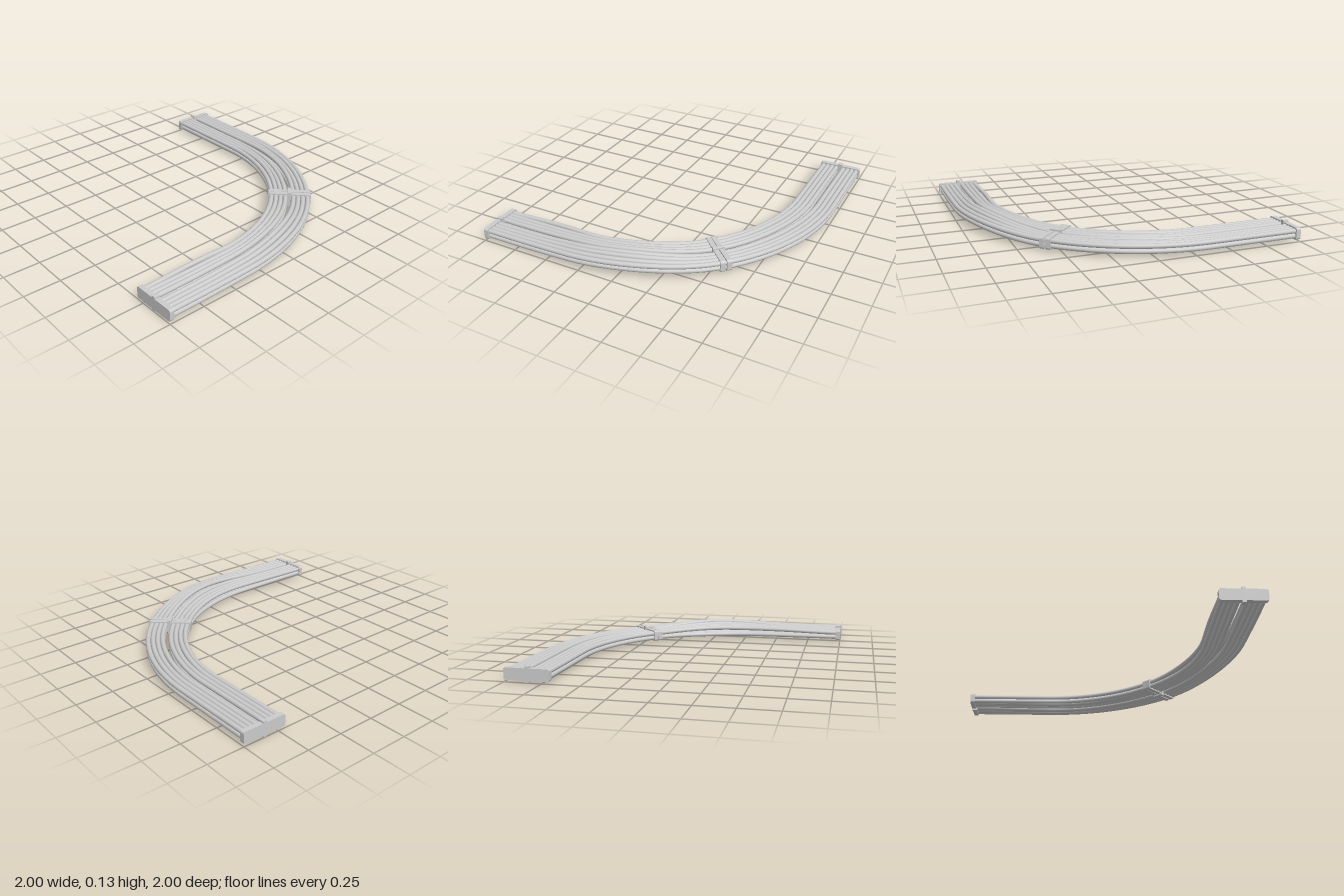
import * as THREE from 'three';

const MID_Y = 0.053, PITCH = 0.033, RADIUS = 0.0167;
const EDGE = 0.848, BEND = -0.367;          // straight-run offset and bend centre
const R = EDGE - BEND, STRAIGHT = 0.63, ARC = R * Math.PI / 2;
const TOTAL = 2 * STRAIGHT + ARC;

// Position and outward direction on the centre line at distance s
function centreLine(s) {
  if (s < STRAIGHT) return { x: BEND - STRAIGHT + s, z: EDGE, nx: 0, nz: 1 };
  if (s > STRAIGHT + ARC) return { x: EDGE, z: BEND - (s - STRAIGHT - ARC), nx: 1, nz: 0 };
  const a = (s - STRAIGHT) / R;
  const nx = Math.sin(a), nz = Math.cos(a);
  return { x: BEND + R * nx, z: BEND + R * nz, nx, nz };
}

// Slack of each cable (inner to outer) on the first span: lower row, upper row
const SLACK = [
  [-0.006, -0.004, 0, 0.006, 0.018, 0.022, 0.022, 0.020],
  [0.012, 0.014, 0.018, 0.028, 0.040, 0.036, 0.026, 0.018],
];

class CablePath extends THREE.Curve {
  constructor(column, row) {
    super();
    this.column = column;
    this.row = row;
    const group = column < 4 ? -1 : 1;
    this.offset = group * 0.078 + ((column % 4) - 1.5) * PITCH;
    this.side = row ? 1 : -1;
  }
  getPoint(t, target = new THREE.Vector3()) {
    const c = centreLine(t * TOTAL);
    let y = MID_Y + this.side * PITCH / 2, off = this.offset;
    if (t < 0.5) {
      // arched span
      const u = t * 2;
      y += SLACK[this.row][this.column] * Math.sin(Math.PI * Math.pow(u, 1.45)) ** 2;
      if (this.column === 0 && this.row === 1) {
        off -= 0.007 * Math.sin(Math.PI * Math.min(1, u * 1.9)) ** 2;
        y += 0.007 * Math.sin(Math.PI * Math.min(1, u * 1.9)) ** 2;
      }
    } else if (this.column > 0 && this.column < 7) {
      // slight rise and dip on the second span
      const u = (t - 0.5) * 2, k = 0.5 + 0.5 * Math.sin(this.column * 2.1);
      y += this.row ? 0.010 * k * Math.sin(Math.PI * Math.min(1, u * 1.6)) ** 2
        : -0.009 * k * Math.sin(Math.PI * u) ** 2;
    }
    return target.set(c.x + c.nx * off, y, c.z + c.nz * off);
  }
}

// Rounded bar: long in x, upright in y, thin in z
function roundedBar(w, h, d, r) {
  const x = w / 2 - r, y = h / 2 - r, s = new THREE.Shape();
  s.absarc(x, y, r, 0, Math.PI / 2);
  s.absarc(-x, y, r, Math.PI / 2, Math.PI);
  s.absarc(-x, -y, r, Math.PI, Math.PI * 1.5);
  s.absarc(x, -y, r, Math.PI * 1.5, Math.PI * 2);
  const g = new THREE.ExtrudeGeometry(s, { depth: d, bevelEnabled: false, curveSegments: 5 });
  return g.translate(0, 0, -d / 2);
}

export function createModel() {
  const model = new THREE.Group();
  model.name = 'cableBundle';
  const material = new THREE.MeshStandardMaterial({ color: 0xcccccc });
  const add = (parent, name, geometry, x = 0, y = 0, z = 0) => {
    const mesh = new THREE.Mesh(geometry, material);
    mesh.name = name;
    mesh.position.set(x, y, z);
    parent.add(mesh);
  };

  // Two groups of four columns by two rows
  const cables = new THREE.Group();
  cables.name = 'cables';
  model.add(cables);
  for (let row = 0; row < 2; row++) {
    for (let column = 0; column < 8; column++) {
      add(cables, 'cable', new THREE.TubeGeometry(new CablePath(column, row), 100, RADIUS, 12));
    }
  }

  // Cable combs: two holders joined by a central clip
  const holder = roundedBar(0.151, 0.08, 0.033, 0.015);
  const clip = roundedBar(0.026, 0.106, 0.04, 0.004);
  const addComb = (name, s, clipShift) => {
    const c = centreLine(s), comb = new THREE.Group();
    comb.name = name;
    comb.position.set(c.x, MID_Y, c.z);
    comb.rotation.y = Math.atan2(-c.nz, c.nx);
    add(comb, 'innerHolder', holder, -0.0765);
    add(comb, 'outerHolder', holder, 0.0765);
    add(comb, 'clip', clip, 0, 0, clipShift);
    model.add(comb);
  };
  addComb('startComb', 0.0135, -0.0035);
  addComb('middleCombA', TOTAL / 2 - 0.0195, 0);
  addComb('middleCombB', TOTAL / 2 + 0.0195, 0);
  addComb('endComb', TOTAL - 0.0135, 0.0035);

  return model;
}
